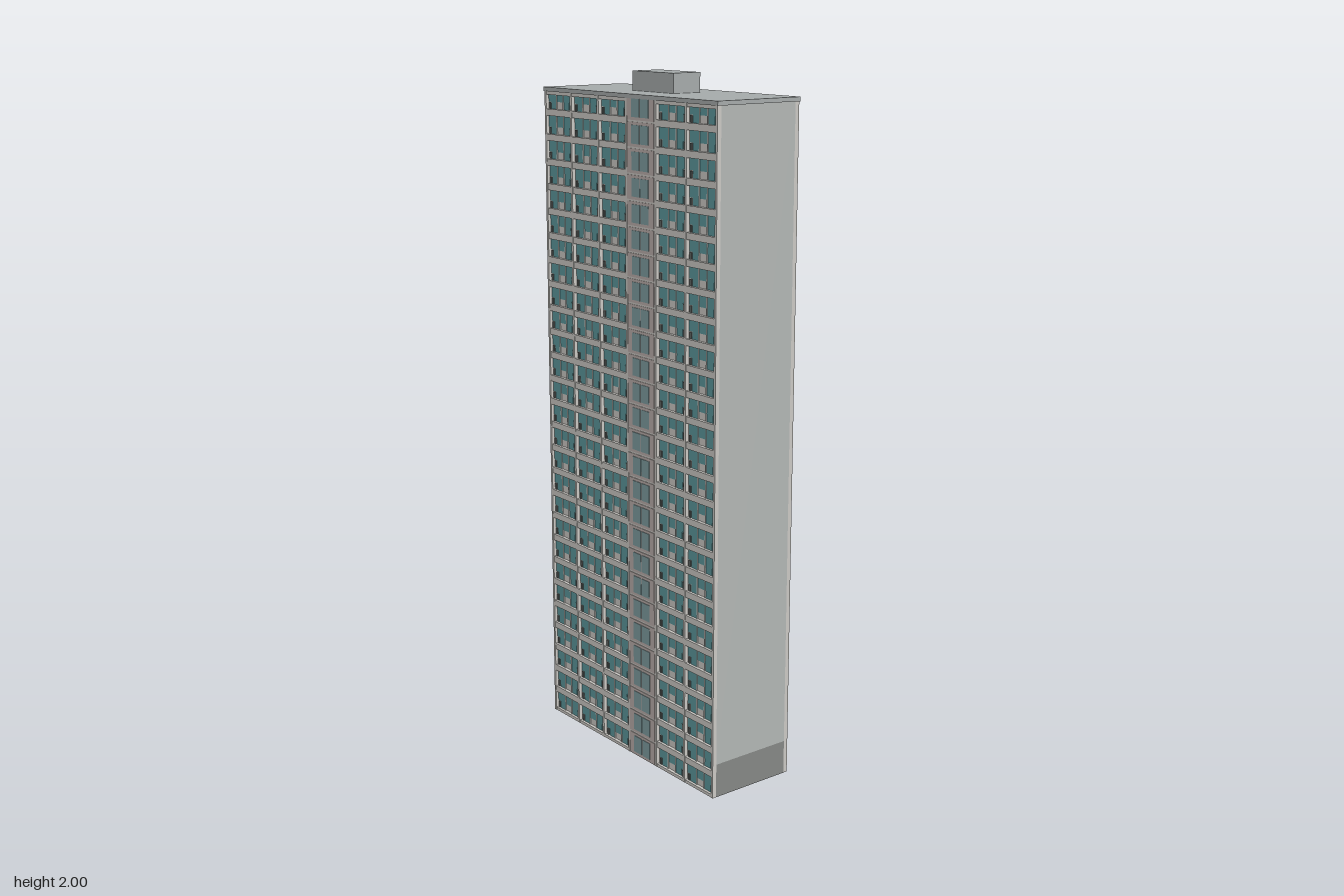
import * as THREE from 'three';
import { mergeGeometries } from 'three/addons/utils/BufferGeometryUtils.js';

const mat = (name, color) => {
  const m = new THREE.MeshStandardMaterial({ color });
  m.name = name;
  return m;
};

// Overall sizes
const W = 0.787, D = 0.279, TOP = 1.945, FLOORS = 27, BAYS = 6, STAIR = 3;
const RECESS = 0.012, BASE = 0.1;
const floorH = TOP / FLOORS, bayW = W / BAYS, inner = D / 2 - RECESS;

export function createModel() {
  const concrete = mat('concrete wall', 0xb3b7b5);
  const plinth = mat('dark plinth', 0x868886);
  const roofGrey = mat('roof grey', 0xa6abab);
  const white = mat('facade white', 0xcbc9c4);
  const glass = mat('teal glass', 0x5b969b);
  const stairPanel = mat('stair panel', 0xb9aeaa);
  const stairGlass = mat('stair glass', 0x7f9c9f);
  const dark = mat('dark panel', 0x5f6462);

  const model = new THREE.Group();
  model.name = 'apartmentTower';
  const tower = new THREE.Group();
  tower.name = 'tower';
  tower.rotation.y = -0.544;
  model.add(tower);

  const box = (w, h, d, x, y, z) => new THREE.BoxGeometry(w, h, d).translate(x, y, z);
  const add = (parent, name, geometry, material) => {
    const mesh = new THREE.Mesh(geometry, material);
    mesh.name = name;
    parent.add(mesh);
  };

  // Core, plinth, roof edge and plant room
  add(tower, 'core', box(W, TOP - 0.01 - BASE, inner * 2, 0, (TOP - 0.01 + BASE) / 2, 0), concrete);
  add(tower, 'plinth', box(W, BASE, inner * 2, 0, BASE / 2, 0), plinth);
  add(tower, 'roofSlab', box(W + 0.006, 0.012, D + 0.006, 0, TOP - 0.006, 0), roofGrey);
  add(tower, 'plantRoom', box(0.184, 2 - TOP, 0.094, 0, (2 + TOP) / 2, 0), roofGrey);

  // One long facade, collected by colour
  const parts = { frame: [], glass: [], stairWall: [], stairGlass: [], dark: [] };
  const zMid = inner + RECESS / 2;

  // Floor bands and the fins between bays
  const bandH = 0.019;
  for (let f = 0; f <= FLOORS; f++) {
    const h = f === 0 || f === FLOORS ? bandH / 2 : bandH;
    const y = f === 0 ? h / 2 : f === FLOORS ? TOP - 0.012 - h / 2 : f * floorH;
    parts.frame.push(box(W, h, RECESS, 0, y, zMid));
  }
  for (let b = 0; b <= BAYS; b++) {
    const edge = b === 0 ? 0.004 : b === BAYS ? -0.004 : 0;
    const x = -W / 2 + b * bayW + edge;
    parts.frame.push(box(0.008, TOP - 0.012, RECESS + 0.001, x, (TOP - 0.012) / 2, zMid + 0.0005));
  }
  parts.frame.push(box(W - 0.002, TOP - 0.014, 0.002, 0, (TOP - 0.014) / 2, inner + 0.001));

  const winH = floorH - bandH;
  for (let f = 0; f < FLOORS; f++) {
    const y0 = f * floorH + bandH / 2;
    for (let b = 0; b < BAYS; b++) {
      const x = -W / 2 + (b + 0.5) * bayW;
      if (b === STAIR) {
        // Stair bay: flush panel with a paired window
        parts.stairWall.push(box(bayW - 0.012, floorH - 0.005, 0.010, x, y0 + winH / 2, inner + 0.0085));
        for (const s of [-1, 1])
          parts.stairGlass.push(box(0.036, winH - 0.002, 0.002, x + s * 0.02, y0 + winH / 2, inner + 0.014));
      } else {
        // Window strip with balcony doors below it and dark panels between
        parts.glass.push(box(bayW - 0.014, winH * 0.6, 0.002, x, y0 + winH * 0.7, inner + 0.003));
        for (const s of [-1, 1]) {
          parts.glass.push(box(0.026, winH * 0.4, 0.002, x + s * 0.032, y0 + winH * 0.2, inner + 0.003));
          parts.frame.push(box(0.003, winH, 0.003, x + s * 0.017, y0 + winH / 2, inner + 0.0045));
          parts.dark.push(box(0.008, winH * 0.36, 0.003, x + s * 0.052, y0 + winH * 0.18, inner + 0.0035));
        }
      }
    }
  }
  const merged = {};
  for (const key in parts) merged[key] = mergeGeometries(parts[key]);

  // The back repeats the front, turned half round
  for (const [name, turn] of [['frontFacade', 0], ['backFacade', Math.PI]]) {
    const facade = new THREE.Group();
    facade.name = name;
    facade.rotation.y = turn;
    add(facade, 'floorBandsAndFins', merged.frame, white);
    add(facade, 'windows', merged.glass, glass);
    add(facade, 'stairWall', merged.stairWall, stairPanel);
    add(facade, 'stairWindows', merged.stairGlass, stairGlass);
    add(facade, 'balconyPanels', merged.dark, dark);
    tower.add(facade);
  }
  return model;
}
